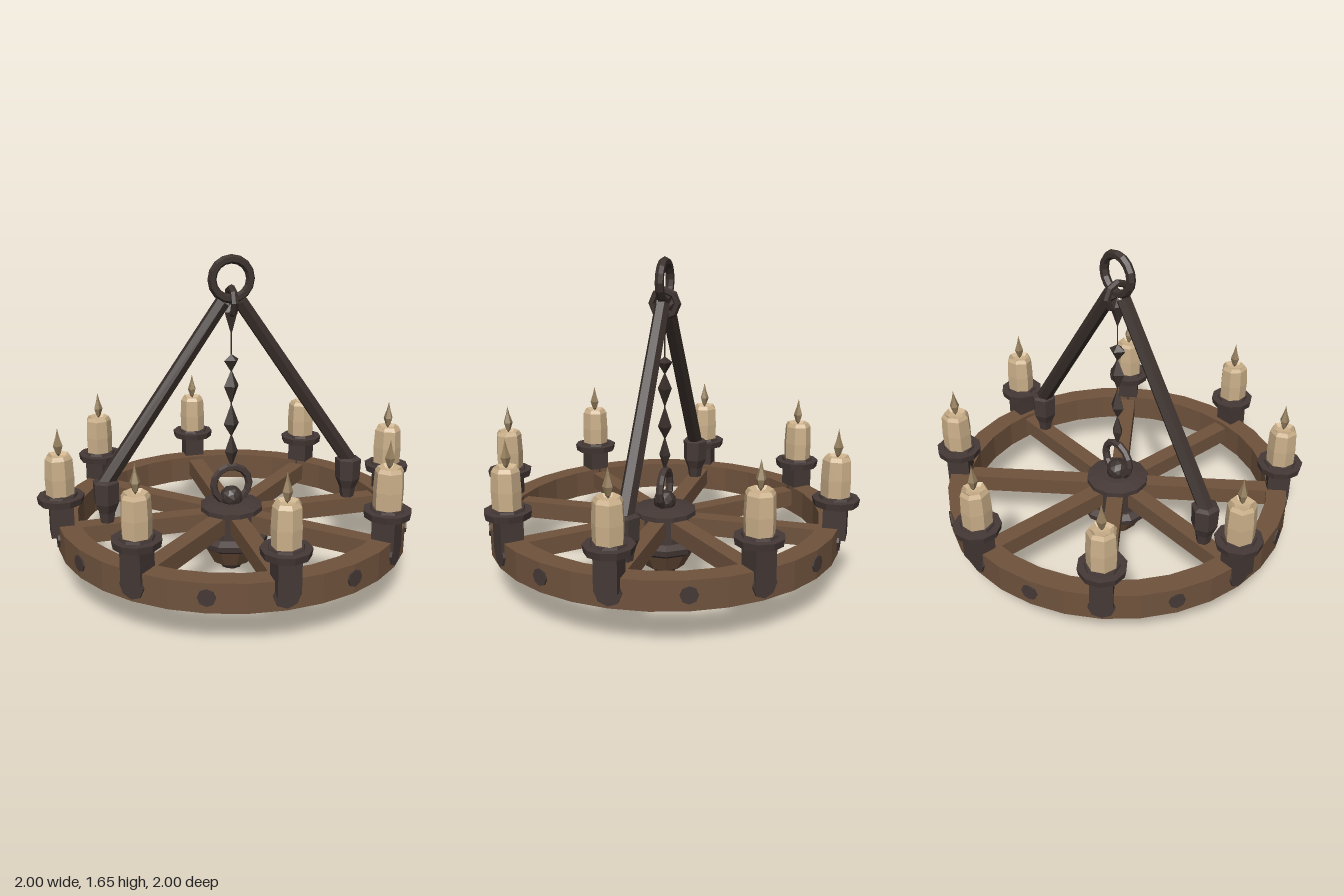
import * as THREE from 'three';

const mat = (name, color, side = THREE.FrontSide) => {
  const m = new THREE.MeshStandardMaterial({ color, flatShading: true, side });
  m.name = name;
  return m;
};

export function createModel() {
  const wood = mat('wood', 0x70533d);
  const iron = mat('iron', 0x453936);
  const darkIron = mat('darkIron', 0x3b312d);
  const wax = mat('wax', 0xcbb08a);
  const flameMat = mat('flame', 0x96805f);

  const root = new THREE.Group();
  root.name = 'chandelier';
  const add = (parent, name, geo, material, x = 0, y = 0, z = 0) => {
    const mesh = new THREE.Mesh(geo, material);
    mesh.name = name;
    mesh.position.set(x, y, z);
    parent.add(mesh);
    return mesh;
  };
  const lathe = (pts, sides) =>
    new THREE.LatheGeometry(pts.map(([r, y]) => new THREE.Vector2(r, y)), sides);
  // Group turned about the vertical axis, its +z pointing outward
  const spin = (name, angle) => {
    const g = new THREE.Group();
    g.name = name;
    g.rotation.y = angle;
    root.add(g);
    return g;
  };
  let seed = 7;
  const rand = () => (seed = (seed * 16807) % 2147483647) / 2147483647;

  // Wheel rim
  add(root, 'rim', lathe([[0.8, 0.2], [0.905, 0.2], [0.905, 0.345], [0.8, 0.345], [0.8, 0.2]], 32), wood);

  // Rivets around the rim, larger pads behind the candle brackets
  for (let i = 0; i < 16; i++) {
    const r = i % 2 ? 0.042 : 0.065;
    const g = spin('rivetMount', (i * Math.PI) / 8);
    add(g, 'rivet', new THREE.CylinderGeometry(r, r, 0.012, 8), iron, 0, 0.276, 0.904).rotation.x = Math.PI / 2;
  }

  // Eight spokes, each with a candle at its end
  for (let i = 0; i < 8; i++) {
    const angle = (i * Math.PI) / 4;
    const r = i % 2 ? 0.855 : 0.88;
    const g = spin('spokeAndCandle', angle);
    add(g, 'spoke', new THREE.BoxGeometry(0.085, 0.09, 0.72), wood, 0, 0.28, 0.46);
    add(g, 'bracket', new THREE.BoxGeometry(0.11, 0.175, 0.115), iron, 0, 0.373, r + 0.002);
    add(g, 'tray', new THREE.CylinderGeometry(0.118, 0.112, 0.035, 10), iron, 0, 0.473, r);
    add(g, 'socket', new THREE.CylinderGeometry(0.082, 0.086, 0.015, 8), iron, 0, 0.495, r);

    // Uneven wax with a slightly sunken top
    const body = lathe([[0.072, 0], [0.075, 0.1], [0.07, 0.195], [0.058, 0.215], [0.04, 0.2], [0, 0.195]], 7);
    const p = body.attributes.position;
    const shift = Array.from({ length: 7 }, () => 0.93 + rand() * 0.13);
    for (let k = 0; k < p.count; k++) {
      const s = shift[Math.floor(k / 6) % 7];
      p.setX(k, p.getX(k) * s);
      p.setZ(k, p.getZ(k) * s);
    }
    const candle = add(g, 'candle', body, wax, 0, 0.49, r);
    candle.rotation.y = rand() * 6;
    add(g, 'flame', lathe([[0, 0], [0.012, 0.015], [0.025, 0.055], [0.01, 0.1], [0, 0.145]], 5), flameMat, 0, 0.695, r);
  }

  // Hub with stepped finial beneath
  add(root, 'hubCore', new THREE.CylinderGeometry(0.15, 0.15, 0.16, 12), iron, 0, 0.26);
  add(root, 'hubCap', lathe([[0.15, 0.32], [0.165, 0.325], [0.165, 0.35], [0.09, 0.365], [0, 0.365]], 12), iron);
  add(root, 'hubCollar', lathe([[0, 0.125], [0.15, 0.125], [0.19, 0.15], [0.195, 0.18], [0.16, 0.2], [0, 0.2]], 10), iron);
  add(root, 'finialBowl', lathe([[0, 0.04], [0.105, 0.04], [0.155, 0.13], [0, 0.13]], 10), wood);
  add(root, 'finialTip', lathe([[0, 0], [0.055, 0], [0.075, 0.045], [0, 0.045]], 10), darkIron);
  add(root, 'hubKnob', new THREE.IcosahedronGeometry(0.06, 1), darkIron, 0, 0.39);
  add(root, 'hubRing', new THREE.TorusGeometry(0.096, 0.02, 6, 14), iron, 0, 0.46);

  // Two slanted hanger bars seated in sockets on the side spokes
  for (const s of [-1, 1]) {
    const from = new THREE.Vector3(s * 0.66, 0.53, 0);
    const to = new THREE.Vector3(s * 0.045, 1.42, 0);
    const dir = to.clone().sub(from);
    const bar = add(root, 'hangerBar', new THREE.CylinderGeometry(0.038, 0.042, dir.length(), 6), darkIron);
    bar.position.copy(from).add(to).multiplyScalar(0.5);
    bar.quaternion.setFromUnitVectors(new THREE.Vector3(0, 1, 0), dir.normalize());
    add(root, 'barSocket', lathe([[0, 0.32], [0.035, 0.32], [0.045, 0.38], [0.066, 0.43], [0.07, 0.54], [0.045, 0.55], [0, 0.55]], 6), iron, s * 0.655);
  }

  // Twisted chain: pointed links [bottom, widest, top, half-width]
  const links = [
    [0.55, 0.64, 0.74, 0.035], [0.72, 0.79, 0.9, 0.042], [0.89, 0.99, 1.075, 0.042],
    [1.06, 1.125, 1.155, 0.045], [1.25, 1.37, 1.41, 0.045],
  ];
  links.forEach(([low, mid, high, w], i) => {
    const link = add(root, 'chainLink', lathe([[0, low], [w, mid], [0, high]], 4), darkIron);
    link.rotation.y = i * 0.12;
    link.scale.z = 0.85;
  });
  add(root, 'chainWire', new THREE.CylinderGeometry(0.004, 0.004, 0.85, 4), darkIron, 0, 0.975);

  // Top ring and the link hooked through it
  add(root, 'topRing', new THREE.TorusGeometry(0.098, 0.023, 6, 16), darkIron, 0, 1.53);
  add(root, 'crossLink', new THREE.TorusGeometry(0.066, 0.019, 6, 8), darkIron, 0, 1.42).rotation.y = Math.PI / 2;

  return root;
}
